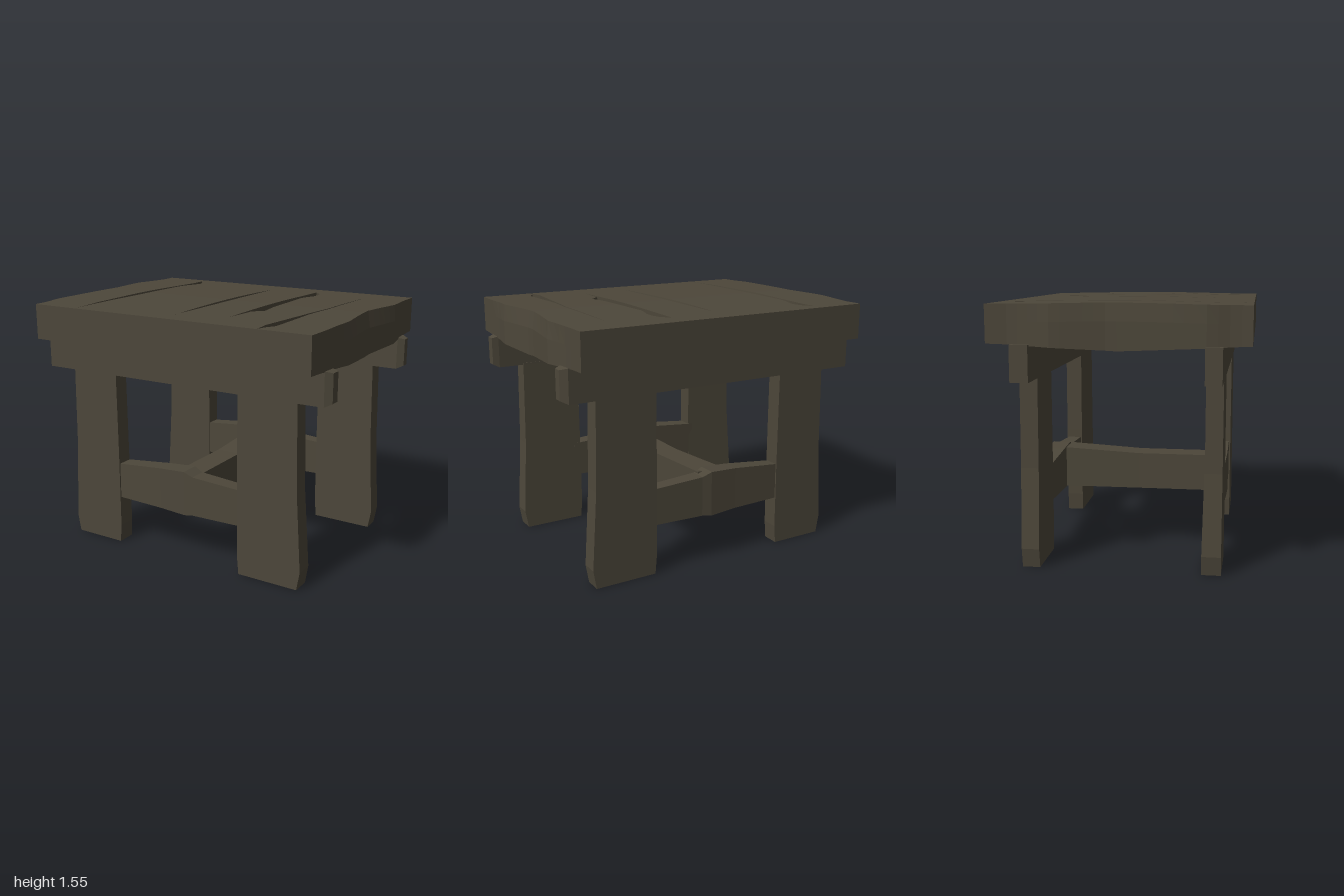
import * as THREE from 'three';

const wood = new THREE.MeshStandardMaterial({ color: 0x4d473a });
wood.name = 'dark weathered wood';

// Maps (along, across, up) of a timber to x, y, z for each running direction
const AXES = {
  x: (t, u, v) => [t, v, u],
  y: (t, u, v) => [u, t, v],
  z: (t, u, v) => [u, v, t],
};

// Rough timber lofted through stations [t, u0, u1, v0, v1, chip0, chip1];
// chip0 and chip1 cut back the two upper long edges.
function timber(name, axis, stations) {
  const rings = stations.map(([t, u0, u1, v0, v1, c0 = 0, c1 = 0]) => [
    [u0, v0], [u1, v0], [u1, v1 - 0.1], [u1 - c1, v1], [u0 + c0, v1], [u0, v1 - 0.1],
  ].map(([u, v]) => AXES[axis](t, u, v)));
  const pos = [];
  const tri = (a, b, c) => pos.push(...(axis === 'z' ? [a, b, c] : [a, c, b]).flat());
  const n = rings[0].length;
  for (let i = 0; i < rings.length - 1; i++) {
    for (let j = 0; j < n; j++) {
      const k = (j + 1) % n;
      tri(rings[i][j], rings[i][k], rings[i + 1][k]);
      tri(rings[i][j], rings[i + 1][k], rings[i + 1][j]);
    }
  }
  const first = rings[0], last = rings[rings.length - 1];
  for (let j = 1; j < n - 1; j++) {
    tri(first[0], first[j + 1], first[j]);
    tri(last[0], last[j], last[j + 1]);
  }
  const geo = new THREE.BufferGeometry();
  geo.setAttribute('position', new THREE.Float32BufferAttribute(pos, 3));
  geo.computeVertexNormals();
  const mesh = new THREE.Mesh(geo, wood);
  mesh.name = name;
  return mesh;
}

// Wavy edge: straight runs between [z, x] points
function edgeAt(points, z) {
  const i = points.findIndex((p) => p[0] >= z);
  if (i < 0) return points[points.length - 1][1];
  if (i === 0) return points[0][1];
  const [a, b] = [points[i - 1], points[i]];
  return a[1] + (b[1] - a[1]) * (z - a[0]) / (b[0] - a[0]);
}

// Top plank between two edges, sagging in the middle, with worn upper edges
function plank(name, left, right, wearLeft, wearRight) {
  const stations = [];
  for (let i = 0; i <= 24; i++) {
    const z = -0.735 + 1.465 * i / 24;
    const wear = Math.max(0, 1 - (z / 0.55) ** 2);
    stations.push([
      z, edgeAt(left, z), edgeAt(right, z),
      1.332 - 0.034 * Math.max(0, 1 - Math.abs(z) / 0.7), 1.555 + 0.005 * Math.cos(4 * z),
      wearLeft * wear, wearRight * wear,
    ]);
  }
  return timber(name, 'z', stations);
}

export function createModel() {
  const model = new THREE.Group();
  model.name = 'roughWoodenTable';

  // Planks from right to left; neighbours share an edge where they touch
  const centreSeam = [[-0.5, 0], [-0.1, 0.01], [0.2, 0.01], [0.5, 0]];
  const leftSeam = [[0, 0.69], [0.3, 0.65], [0.6, 0.605], [0.73, 0.62]];
  const innerSeam = [[0, 0.315]];
  model.add(
    plank('topPlank1',
      [[-0.73, -0.96], [-0.6, -0.95], [-0.35, -0.99], [-0.05, -0.95], [0.5, -0.98], [0.63, -0.955]],
      [[-0.73, -0.65], [-0.3, -0.63], [0.25, -0.64], [0.5, -0.66], [0.73, -0.645]], 0.01, 0.02),
    plank('topPlank2',
      [[-0.66, -0.65], [-0.6, -0.59], [-0.54, -0.58], [-0.4, -0.63], [0.1, -0.625], [0.4, -0.645]],
      centreSeam, 0.015, 0.02),
    plank('topPlank3', centreSeam, innerSeam, 0.015, 0),
    plank('topPlank4',
      [[-0.6, 0.31], [-0.54, 0.38], [-0.44, 0.37], [-0.33, 0.325], [0.1, 0.34], [0.26, 0.37], [0.28, 0.31]],
      leftSeam, 0.04, 0.005),
    plank('topPlank5',
      [[0, 0.69], [0.2, 0.67], [0.64, 0.67], [0.68, 0.62]],
      [[-0.58, 0.94], [-0.37, 0.97], [-0.05, 0.93], [0.3, 0.97], [0.44, 0.955], [0.73, 0.945]], 0.005, 0.015),
  );

  // Leg outline [height, outer x, inner x]; the left leg is its narrower mirror
  const leg = [[0.005, -0.82, -0.48], [0.12, -0.84, -0.47], [0.6, -0.81, -0.468], [1.14, -0.8, -0.47]];

  // One trestle at each end: two legs, a beam under the planks and a low rail
  for (const [label, z0, z1, thin] of [['front', 0.46, 0.575, 0.02], ['back', -0.59, -0.485, 0]]) {
    const trestle = new THREE.Group();
    trestle.name = label + 'Trestle';
    const inside = (y) => z0 + thin * y;
    trestle.add(
      timber('rightLeg', 'y', leg.map(([y, out, inn]) => [y, out, inn, inside(y), z1])),
      timber('leftLeg', 'y', leg.map(([y, out, inn]) => [y, -inn - 0.06, -out - 0.008, inside(y), z1])),
      timber('beam', 'x', [
        [-1, z0 + thin, z1, 1.122, 1.33], [0.95, z0 + thin, z1, 1.13, 1.33],
        [0.99, z0 + 0.03, z1 - 0.025, 1.15, 1.32],
      ]),
      timber('lowRail', 'x', [
        [-0.5, z0 + 0.01, z1 - 0.01, 0.315, 0.54], [-0.15, z0, z1, 0.312, 0.575],
        [0.03, z0 - 0.01, z1, 0.302, 0.585], [0.09, z0, z1 - 0.005, 0.31, 0.56],
        [0.45, z0 + 0.01, z1 - 0.01, 0.315, 0.54],
      ]),
    );
    model.add(trestle);
  }

  // Long stretcher joining the two low rails
  model.add(timber('stretcher', 'z', [
    [-0.53, -0.09, 0.085, 0.313, 0.575], [0, -0.08, 0.08, 0.312, 0.545],
    [0.52, -0.08, 0.08, 0.313, 0.545],
  ]));

  return model;
}
